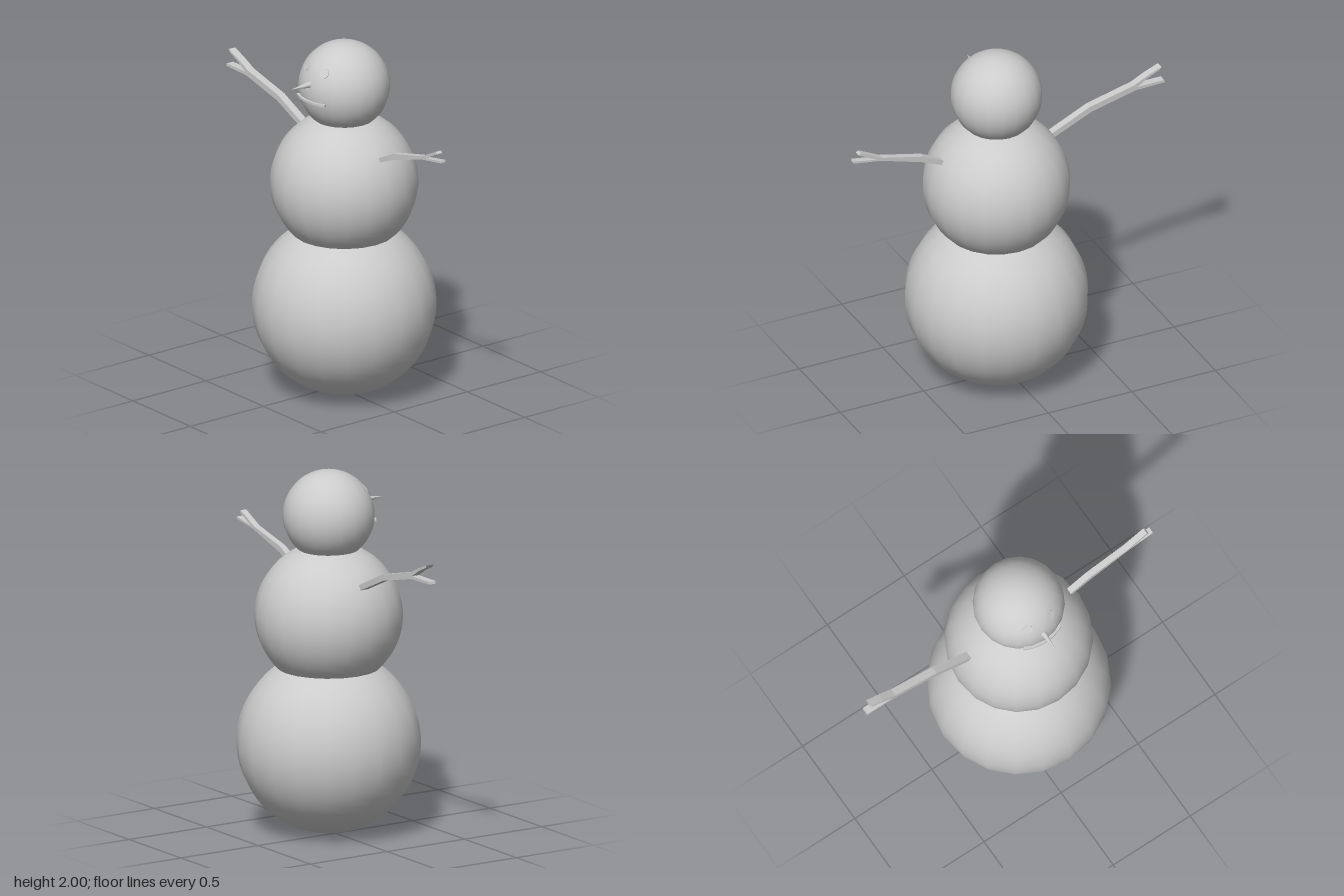
import * as THREE from 'three';

const CX = 0.065; // body axis

export function createModel() {
  const group = new THREE.Group();
  const mat = new THREE.MeshStandardMaterial({ color: 0xcccccc });
  const add = (name, geo) => {
    const mesh = new THREE.Mesh(geo, mat);
    mesh.name = name;
    group.add(mesh);
    return mesh;
  };

  // Three stacked snowballs
  const balls = [['base', 0.5, 0.497], ['torso', 1.2, 0.4], ['head', 1.752, 0.248]];
  for (const [name, y, r] of balls) {
    add(name, new THREE.SphereGeometry(r, 20, 32)).position.set(CX, y, 0);
  }

  // Forked twig arms: flat outlines extruded in z
  const arm = (name, points, depth) => {
    const shape = new THREE.Shape(points.map(([x, y]) => new THREE.Vector2(x, y)));
    const geo = new THREE.ExtrudeGeometry(shape, { depth, bevelEnabled: false });
    add(name, geo.translate(0, 0, -depth / 2));
  };
  arm('rightArm', [
    [-0.24, 1.423], [-0.484, 1.537], [-0.75, 1.602], [-0.828, 1.641], [-0.913, 1.675],
    [-0.903, 1.66], [-0.835, 1.628], [-0.77, 1.587], [-0.93, 1.588], [-0.934, 1.573],
    [-0.76, 1.569], [-0.495, 1.505], [-0.255, 1.397],
  ], 0.044);
  arm('leftArm', [
    [0.37, 1.395], [0.521, 1.458], [0.765, 1.532], [0.927, 1.557], [0.924, 1.569],
    [0.79, 1.546], [0.897, 1.6], [0.886, 1.612], [0.759, 1.549], [0.511, 1.49], [0.36, 1.415],
  ], 0.036);

  // Button eyes, pressed almost flush into the head
  for (const side of [-1, 1]) {
    const normal = new THREE.Vector3(side * 0.075, 0.133, 0.197).normalize();
    const eye = add(side > 0 ? 'leftEye' : 'rightEye', new THREE.CylinderGeometry(0.028, 0.028, 0.02, 20));
    eye.quaternion.setFromUnitVectors(new THREE.Vector3(0, 1, 0), normal);
    eye.position.set(CX, 1.752, 0).addScaledVector(normal, 0.237);
  }

  // Carrot nose
  const nose = add('nose', new THREE.ConeGeometry(0.02, 0.14, 16));
  nose.rotation.x = Math.PI / 2;
  nose.position.set(CX, 1.807, 0.29);

  // Mouth: thin curved strip around the front of the head
  const spread = 0.49;
  const strip = new THREE.Shape();
  strip.absarc(0, 0, 0.259, -Math.PI / 2 - spread, -Math.PI / 2 + spread, false);
  strip.absarc(0, 0, 0.232, -Math.PI / 2 + spread, -Math.PI / 2 - spread, true);
  const mouth = add('mouth', new THREE.ExtrudeGeometry(strip, { depth: 0.012, bevelEnabled: false, curveSegments: 6 }));
  mouth.rotation.x = -Math.PI / 2;
  mouth.position.set(CX, 1.709, 0);

  return group;
}
